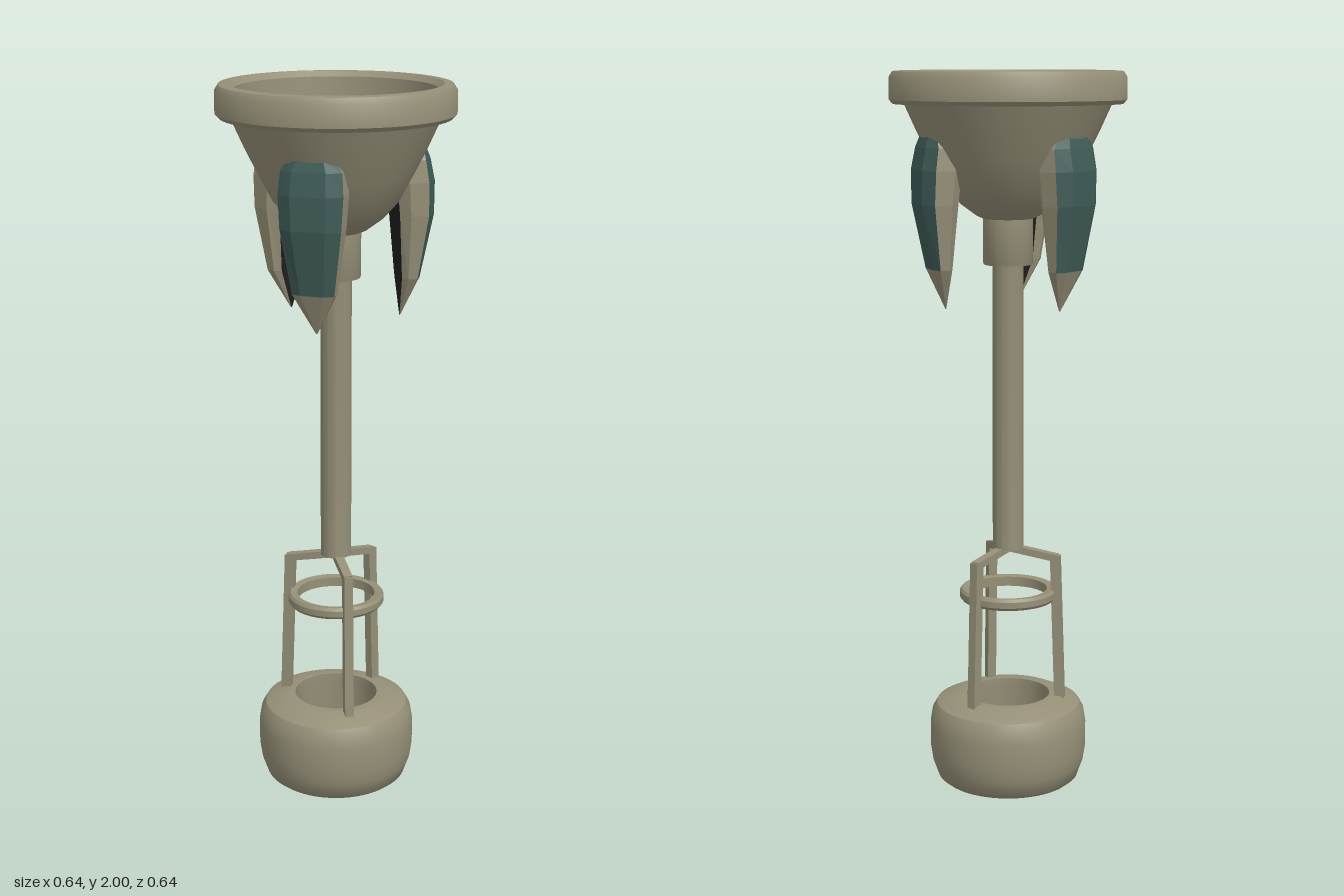
import * as THREE from 'three';
import { toCreasedNormals } from 'three/addons/utils/BufferGeometryUtils.js';

const mat = (name, color, extra = {}) => {
  const m = new THREE.MeshStandardMaterial({ color, ...extra });
  m.name = name;
  return m;
};

// Closed ring turned from a profile: outside going up, inside going down
function turned(name, profile, material, crease = 0.6) {
  const pts = [...profile, profile[0]].map(([r, y]) => new THREE.Vector2(r, y));
  const geo = toCreasedNormals(new THREE.LatheGeometry(pts, 64), crease);
  const mesh = new THREE.Mesh(geo, material);
  mesh.name = name;
  return mesh;
}

// Faceted fin pointing along +x; sections are [y, inner x, outer x, half width]
function finGeometry() {
  const sections = [
    [1.365, 0.179, 0.181, 0.002],
    [1.475, 0.174, 0.226, 0.058],
    [1.65, 0.162, 0.26, 0.083],
    [1.74, 0.153, 0.26, 0.088],
    [1.8, 0.155, 0.248, 0.083],
    [1.83, 0.175, 0.238, 0.066],
  ];
  const rings = sections.map(([y, a, b, w]) => {
    const d = b - a;
    const half = [[b, 0.55 * w], [b - 0.25 * d, w], [a + 0.25 * d, w], [a, 0.7 * w]];
    const loop = [...half, ...half.map(([x, z]) => [x, -z]).reverse()];
    return loop.map(([x, z]) => [x, y, z]);
  });
  const faces = [[], [], []]; // 0 body, 1 outer panel, 2 inner face
  const tri = (g, ...p) => faces[g].push(...p.flat());
  for (let s = 0; s < rings.length - 1; s++) {
    for (let i = 0; i < 8; i++) {
      const j = (i + 1) % 8;
      const [a, b, c, d] = [rings[s][i], rings[s][j], rings[s + 1][j], rings[s + 1][i]];
      let g = 0;
      if (s > 0 && (i === 7 || i === 0 || i === 6)) g = 1;
      if (s < 3 && i === 3) g = 2;
      tri(g, a, c, b);
      tri(g, a, d, c);
    }
  }
  // Top cap and tip
  const top = rings[rings.length - 1];
  for (let i = 1; i < 7; i++) {
    tri(0, top[0], top[i + 1], top[i]);
    tri(0, rings[0][0], rings[0][i], rings[0][i + 1]);
  }
  const geo = new THREE.BufferGeometry();
  geo.setAttribute('position', new THREE.Float32BufferAttribute(faces.flat(), 3));
  let start = 0;
  faces.forEach((f, g) => {
    geo.addGroup(start, f.length / 3, g);
    start += f.length / 3;
  });
  geo.computeVertexNormals();
  return geo;
}

// Square bar between two points in the plane z = 0
function bar(name, [x0, y0], [x1, y1], thick, wide, material) {
  const dx = x1 - x0, dy = y1 - y0;
  const mesh = new THREE.Mesh(new THREE.BoxGeometry(thick, Math.hypot(dx, dy), wide), material);
  mesh.position.set((x0 + x1) / 2, (y0 + y1) / 2, 0);
  mesh.rotation.z = -Math.atan2(dx, dy);
  mesh.name = name;
  return mesh;
}

export function createModel() {
  const group = new THREE.Group();
  const beige = mat('beige metal', 0x969078);
  const teal = mat('teal panel', 0x3e5b57);
  const dark = mat('dark inner face', 0x1d1e1d);
  const white = mat('white', 0xe4e4e4);

  // Flared bowl with rounded rim, collar below and open sleeve inside
  group.add(turned('bowl', [
    [0.053, 1.48], [0.066, 1.48], [0.068, 1.485], [0.068, 1.605], [0.085, 1.612], [0.13, 1.645],
    [0.17, 1.69], [0.21, 1.765], [0.245, 1.835], [0.28, 1.912], [0.31, 1.912], [0.32, 1.923],
    [0.32, 1.982], [0.31, 1.998], [0.285, 2], [0.27, 1.985], [0.267, 1.93], [0.245, 1.915],
    [0.226, 1.835], [0.193, 1.765], [0.153, 1.7], [0.115, 1.665], [0.074, 1.642],
    [0.06, 1.655], [0.058, 1.93], [0.053, 1.93],
  ], beige));

  // Hollow stem
  group.add(turned('stem', [
    [0.036, 0.68], [0.043, 0.68], [0.043, 1.48], [0.048, 1.52], [0.048, 1.92], [0.036, 1.92],
  ], beige));

  // Open barrel at the foot
  group.add(turned('footBarrel', [
    [0.14, 0.003], [0.185, 0.003], [0.2, 0.015], [0.216, 0.06], [0.222, 0.1], [0.222, 0.17],
    [0.216, 0.205], [0.203, 0.228], [0.15, 0.252], [0.118, 0.252], [0.118, 0.23], [0.138, 0.03],
  ], beige));

  // Thin guide ring between the struts
  group.add(turned('guideRing', [
    [0.11, 0.535], [0.13, 0.532], [0.136, 0.54], [0.136, 0.557], [0.13, 0.565], [0.11, 0.562],
  ], beige));

  const finGeo = finGeometry();
  const ballGeo = new THREE.SphereGeometry(0.016, 20, 14);
  for (let i = 0; i < 3; i++) {
    const turn = (i * Math.PI * 2) / 3;

    // Fins around the bowl
    const fin = new THREE.Mesh(finGeo, [beige, teal, dark]);
    fin.name = 'fin' + (i + 1);
    fin.rotation.y = turn;
    group.add(fin);

    // Bent struts joining stem and barrel
    const strut = new THREE.Group();
    strut.name = 'strut' + (i + 1);
    strut.add(
      bar('strutLeg', [0.15, 0.22], [0.135, 0.662], 0.028, 0.025, beige),
      bar('strutArm', [0.142, 0.655], [0, 0.682], 0.02, 0.025, beige),
    );
    strut.rotation.y = turn - Math.PI / 2;
    group.add(strut);

    // Small balls inside the bowl
    const ball = new THREE.Mesh(ballGeo, white);
    ball.name = 'ball' + (i + 1);
    const a = turn - Math.PI / 2;
    ball.position.set(0.13 * Math.cos(a), 1.695, 0.13 * Math.sin(a));
    group.add(ball);
  }
  return group;
}
